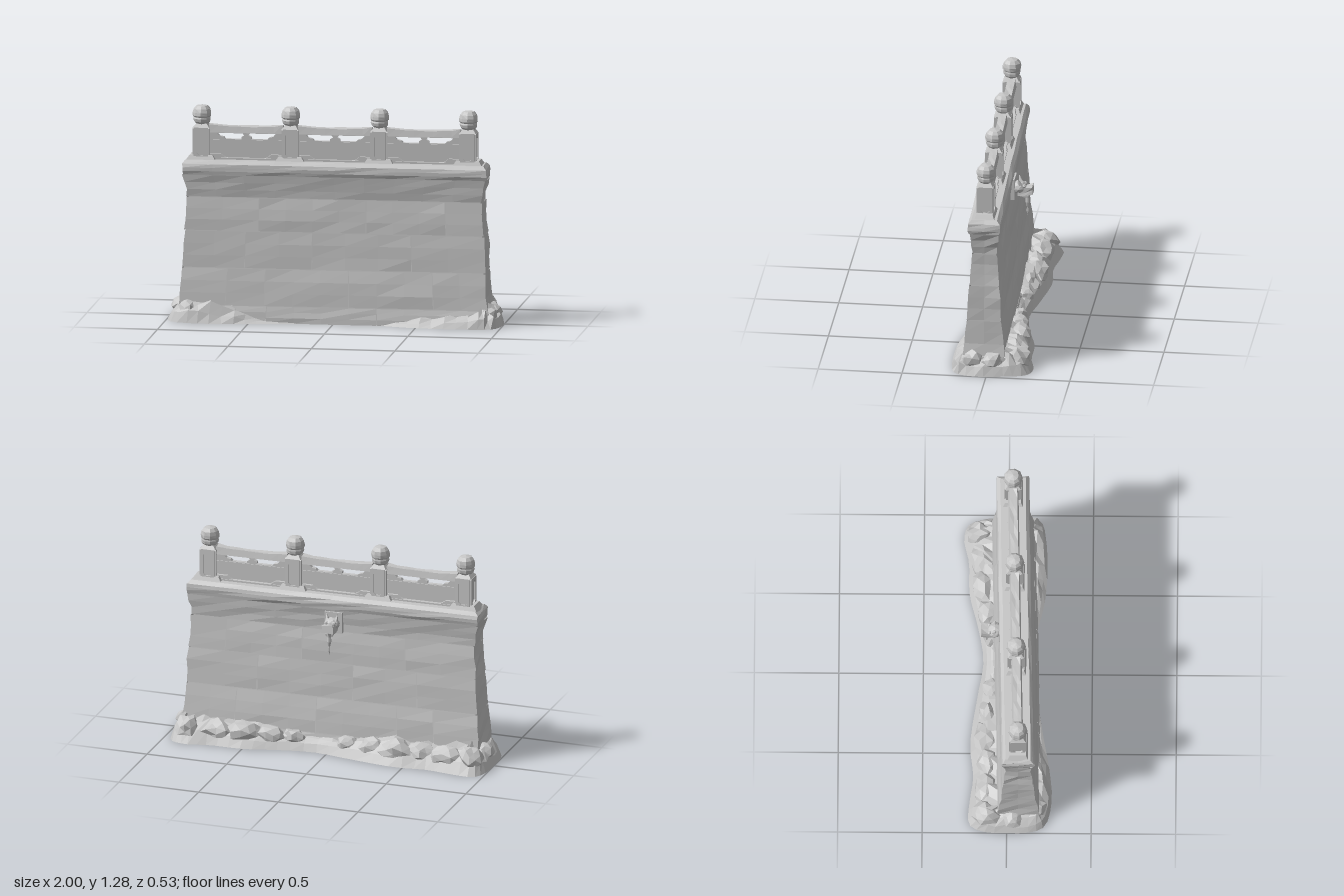
import * as THREE from 'three';

const stone = new THREE.MeshStandardMaterial({ color: 0xc6c6c6, flatShading: true, side: THREE.DoubleSide });
stone.name = 'grey stone';

// Repeatable noise in -0.5..0.5 from a position
const noise = (x, y, z) => {
  const s = Math.sin(Math.round(x * 500) * 1.271 + Math.round(y * 500) * 3.117 + Math.round(z * 500) * 0.747) * 43758.5;
  return s - Math.floor(s) - 0.5;
};
// The whole wall is slightly skewed along its length
const centreZ = (x) => 0.045 - 0.025 * x;
const toPoints = (list) => list.map(([x, y]) => new THREE.Vector2(x, y));

// Wall profile: height, half depth, half length
const PROFILE = [
  [0, 0.14, 0.94], [0.1, 0.127, 0.92], [0.3, 0.108, 0.905], [0.34, 0.1, 0.9], [0.52, 0.092, 0.895], [0.56, 0.088, 0.888],
  [0.74, 0.076, 0.88], [0.79, 0.077, 0.882], [0.86, 0.086, 0.9], [0.885, 0.096, 0.908], [0.935, 0.096, 0.905], [0.96, 0.078, 0.885],
];
function profileAt(y) {
  let i = 0;
  while (i < PROFILE.length - 2 && y > PROFILE[i + 1][0]) i++;
  const [a, b] = [PROFILE[i], PROFILE[i + 1]];
  const t = THREE.MathUtils.clamp((y - a[0]) / (b[0] - a[0]), 0, 1);
  return [a[1] + (b[1] - a[1]) * t, a[2] + (b[2] - a[2]) * t];
}

function warp(geo, fn) {
  const p = geo.attributes.position;
  const v = new THREE.Vector3();
  for (let i = 0; i < p.count; i++) {
    v.fromBufferAttribute(p, i);
    fn(v);
    p.setXYZ(i, v.x, v.y, v.z);
  }
  geo.computeVertexNormals();
  return geo;
}

function add(parent, name, geo, x = 0, y = 0, z = 0) {
  const mesh = new THREE.Mesh(geo, stone);
  mesh.name = name;
  mesh.position.set(x, y, z);
  parent.add(mesh);
  return mesh;
}

// A stone following the wall profile; u is a fraction of the half length, sides are the box faces kept
function wallBlock(u0, u1, y0, y1, inset, rough, ySegs, sides) {
  const xSegs = Math.max(1, Math.round((u1 - u0) * 5));
  const box = new THREE.BoxGeometry(1, 1, 1, xSegs, ySegs, 2);
  const all = Array.from(box.index.array);
  box.setIndex(sides.flatMap((s) => all.slice(box.groups[s].start, box.groups[s].start + box.groups[s].count)));
  box.clearGroups();
  return warp(box, (v) => {
    const y = y0 + (v.y + 0.5) * (y1 - y0);
    const [d, l] = profileAt(y);
    const u = u0 + (v.x + 0.5) * (u1 - u0);
    const x = u * (l - inset);
    const n = noise(x, y, v.z) * rough;
    const edge = Math.abs(v.y) > 0.49 ? 0.003 : 0;
    v.set(x + (Math.abs(u) > 0.99 ? n * 2 : 0), y, centreZ(x) + v.z * 2 * (d - inset - edge + n));
  });
}

// Hollow wall, open underneath, faced with staggered stones
function buildWall(group) {
  const courses = [
    [0, 0.1, [-0.43, 0.28]],
    [0.1, 0.32, [-0.7, -0.45, 0.1, 0.65]],
    [0.32, 0.54, [-0.59, -0.145, 0.515]],
    [0.54, 0.74, [-0.51, 0.215, 0.75]],
    [0.74, 0.875, []],
  ];
  const gap = 0.0025;
  courses.forEach(([y0, y1, joints]) => {
    const cuts = [-1, ...joints, 1];
    for (let i = 0; i < cuts.length - 1; i++) {
      const first = i === 0;
      const last = i === cuts.length - 2;
      const sides = [4, 5];
      if (last) sides.push(0);
      if (first) sides.push(1);
      const a = cuts[i] + (first ? 0 : gap);
      const b = cuts[i + 1] - (last ? 0 : gap);
      add(group, 'wallStone', wallBlock(a, b, y0 + (y0 ? gap : 0), y1 - gap, 0, 0.006, 3, sides));
    }
  });
  add(group, 'wallCore', wallBlock(-1, 1, 0, 0.9, 0.01, 0, 12, [0, 1, 4, 5]));
  add(group, 'coping', wallBlock(-1, 1, 0.876, 0.96, 0, 0.006, 4, [0, 1, 2, 3, 4, 5]));
}

// Upright rectangle with clipped corners
function clipped(Type, w, y0, y1, c) {
  const h = w / 2;
  return new Type(toPoints([
    [-h + c, y0], [h - c, y0], [h, y0 + c], [h, y1 - c], [h - c, y1], [-h + c, y1], [-h, y1 - c], [-h, y0 + c],
  ]));
}

function buildPost(x) {
  const post = new THREE.Group();
  post.name = 'post';
  post.position.set(x, 0, centreZ(x));
  add(post, 'postCore', new THREE.BoxGeometry(0.082, 0.22, 0.082), 0, 1.05, 0);
  // Raised frame with a sunken panel on each side
  const frame = clipped(THREE.Shape, 0.086, 0.95, 1.15, 0.006);
  frame.holes.push(clipped(THREE.Path, 0.054, 0.985, 1.128, 0.014));
  const frameGeo = new THREE.ExtrudeGeometry(frame, { depth: 0.011, bevelEnabled: false });
  frameGeo.translate(0, 0, 0.04);
  for (let i = 0; i < 4; i++) add(post, 'postFrame', frameGeo).rotation.y = i * Math.PI / 2;
  // Sloped top and rounded finial
  const cap = new THREE.CylinderGeometry(0.045, 0.069, 0.022, 4);
  cap.rotateY(Math.PI / 4);
  add(post, 'postCap', cap, 0, 1.161, 0);
  const knob = toPoints([[0.034, 1.166], [0.05, 1.182], [0.053, 1.2], [0.049, 1.209], [0.055, 1.218],
    [0.056, 1.236], [0.05, 1.258], [0.034, 1.276], [0, 1.283]]);
  add(post, 'finial', warp(new THREE.LatheGeometry(knob, 9), (v) => {
    const k = 1 + noise(v.x, v.y, v.z) * 0.1;
    v.x *= k;
    v.z *= k;
  }));
  // Flared foot
  const foot = new THREE.CylinderGeometry(0.075, 0.1, 0.035, 4);
  foot.rotateY(Math.PI / 4);
  foot.scale(1.3, 1, 0.9);
  add(post, 'postFoot', foot, 0, 0.968, 0);
  return post;
}

function buildBay(x0, x1) {
  const bay = new THREE.Group();
  bay.name = 'balustradeBay';
  const x = (x0 + x1) / 2;
  const w = x1 - x0;
  bay.position.set(x, 0, centreZ(x));
  bay.rotation.y = 0.025;
  // Panel pierced by two cloud-shaped openings
  const panel = new THREE.Shape(toPoints([[-w / 2, 0.94], [w / 2, 0.94], [w / 2, 1.13], [-w / 2, 1.13]]));
  for (const s of [-1, 1]) {
    panel.holes.push(new THREE.Path(toPoints([[0.03, 1.08], [0.125, 1.08], [0.135, 1.092], [0.16, 1.098], [0.175, 1.115],
      [0.022, 1.115], [0.012, 1.102], [0.03, 1.093]].map(([px, py]) => [s * px, py]))));
  }
  const panelGeo = new THREE.ExtrudeGeometry(panel, { depth: 0.026, bevelEnabled: false });
  add(bay, 'piercedPanel', panelGeo, 0, 0, -0.013);
  // Worn handrail that sags a little
  add(bay, 'handrail', warp(new THREE.BoxGeometry(w, 0.042, 0.062, 8, 1, 2), (v) => {
    const e = (2 * v.x / w) ** 2;
    if (v.y > 0) {
      v.y += -0.006 + 0.012 * e + noise(v.x, 0.3, v.z) * 0.007;
      v.z *= 0.75;
    }
  }), 0, 1.141, 0);
  add(bay, 'middleRail', new THREE.BoxGeometry(w, 0.01, 0.036), 0, 1.072, 0);
  // Low curb and the curved brackets next to the posts
  add(bay, 'curb', new THREE.BoxGeometry(w, 0.03, 0.07), 0, 0.955, 0);
  for (const s of [-1, 1]) {
    const e = s * w / 2;
    const shape = new THREE.Shape();
    shape.moveTo(e, 0.945);
    shape.lineTo(e - s * 0.17, 0.945);
    shape.quadraticCurveTo(e - s * 0.11, 0.96, e - s * 0.07, 0.992);
    shape.lineTo(e, 0.992);
    add(bay, 'curbBracket', new THREE.ExtrudeGeometry(shape, { depth: 0.06, bevelEnabled: false, curveSegments: 4 }), 0, 0, -0.03);
  }
  return bay;
}

// Beast-head water spout on the back
function buildSpout() {
  const spout = new THREE.Group();
  spout.name = 'waterSpout';
  spout.position.set(-0.01, 0, 0);
  add(spout, 'spoutPlate', new THREE.BoxGeometry(0.11, 0.13, 0.03), 0, 0.8, -0.038);
  const head = add(spout, 'spoutHead', new THREE.IcosahedronGeometry(0.042, 1), 0, 0.8, -0.075);
  head.scale.set(1.15, 0.95, 1.1);
  const snout = warp(new THREE.BoxGeometry(0.07, 0.045, 0.09, 2, 2, 2), (v) => {
    v.x *= 1 + noise(v.x, v.y, v.z) * 0.3;
    v.y += (v.z < -0.03 ? 0.006 : 0) + noise(v.z, v.x, v.y) * 0.012;
  });
  add(spout, 'snout', snout, 0, 0.782, -0.113).rotation.x = 0.1;
  add(spout, 'lowerJaw', new THREE.BoxGeometry(0.042, 0.016, 0.06), 0, 0.752, -0.098).rotation.x = -0.25;
  for (const s of [-1, 1]) {
    add(spout, 'ear', new THREE.ConeGeometry(0.016, 0.05, 5), s * 0.03, 0.842, -0.077).rotation.set(0.25, 0, -s * 0.2);
    add(spout, 'browBump', new THREE.IcosahedronGeometry(0.013, 0), s * 0.024, 0.815, -0.108);
  }
  const drip = toPoints([[0, 0.62], [0.007, 0.645], [0.006, 0.675], [0.014, 0.705], [0.012, 0.735], [0.018, 0.765]]);
  add(spout, 'hangingDrip', new THREE.LatheGeometry(drip, 6), 0, 0, -0.126);
  return spout;
}

// Earth and rubble heaped around the foot
function buildRubble() {
  const rubble = new THREE.Group();
  rubble.name = 'rubble';
  // Outline points: x, z, height against the wall
  const outline = [
    [-0.8, 0.265, 0.14], [-0.6, 0.25, 0.09], [-0.4, 0.215, 0.025], [0, 0.16, 0.003], [0.25, 0.17, 0.005],
    [0.45, 0.215, 0.05], [0.65, 0.23, 0.06], [0.85, 0.22, 0.1], [0.96, 0.19, 0.13], [1, 0.06, 0.11],
    [0.98, -0.1, 0.11], [0.94, -0.235, 0.13], [0.85, -0.265, 0.14], [0.7, -0.235, 0.14], [0.5, -0.23, 0.13],
    [0.3, -0.18, 0.1], [0.08, -0.145, 0.09], [-0.15, -0.18, 0.1], [-0.45, -0.22, 0.14], [-0.65, -0.2, 0.12],
    [-0.8, -0.22, 0.15], [-0.95, -0.22, 0.15], [-1, -0.1, 0.12], [-1, 0.1, 0.11], [-0.96, 0.22, 0.12],
  ];
  const curve = new THREE.CatmullRomCurve3(outline.map(([x, z, h]) => new THREE.Vector3(x, h, z)), true);
  const n = 70;
  const rings = [[0, 0], [0.22, 0.45], [0.55, 0.85], [1, 1]];
  const pos = [];
  const index = [];
  for (let i = 0; i < n; i++) {
    const o = curve.getPoint(i / n);
    o.x = THREE.MathUtils.clamp(o.x, -1, 1);
    const ix = THREE.MathUtils.clamp(o.x, -0.88, 0.88);
    const iz = THREE.MathUtils.clamp(o.z, centreZ(ix) - 0.1, centreZ(ix) + 0.1);
    rings.forEach(([t, k], j) => {
      const r = j ? noise(i, j, 3) : 0;
      const h = Math.max(0, o.y) * k;
      pos.push(o.x + (ix - o.x) * t + r * 0.015, h * (1 + r * 0.5), o.z + (iz - o.z) * t + r * 0.012);
      if (j === 3) return;
      const a = i * 4 + j;
      const b = ((i + 1) % n) * 4 + j;
      index.push(a, b, b + 1, a, b + 1, a + 1);
    });
  }
  const mound = new THREE.BufferGeometry();
  mound.setAttribute('position', new THREE.Float32BufferAttribute(pos, 3));
  mound.setIndex(index);
  mound.computeVertexNormals();
  add(rubble, 'mound', mound);
  // Flat, half-buried rocks: x, z, radius
  const rocks = [
    [-0.9, -0.12, 0.08], [-0.74, -0.12, 0.07], [-0.58, -0.11, 0.065], [-0.43, -0.125, 0.075], [-0.28, -0.105, 0.06],
    [-0.12, -0.095, 0.05], [0.22, -0.1, 0.05], [0.36, -0.115, 0.065], [0.52, -0.14, 0.075], [0.68, -0.145, 0.075],
    [0.86, -0.17, 0.08], [0.92, -0.03, 0.065], [0.91, 0.1, 0.07], [-0.92, 0.03, 0.07], [-0.86, 0.17, 0.07],
  ];
  rocks.forEach(([x, z, r], i) => {
    const rock = warp(new THREE.IcosahedronGeometry(r, 1), (v) => {
      v.multiplyScalar(1 + noise(v.x + i, v.y, v.z) * 0.35);
      v.y = Math.max(v.y, -0.02);
    });
    const mesh = add(rubble, 'rock', rock, x, 0.065, z);
    mesh.scale.x = Math.abs(x) > 0.85 ? 0.9 : 1.45;
    mesh.rotation.y = noise(i, 1, 2) * 0.5;
  });
  return rubble;
}

export function createModel() {
  const model = new THREE.Group();
  model.name = 'stoneWall';
  const wall = new THREE.Group();
  wall.name = 'wall';
  buildWall(wall);
  const posts = [-0.8, -0.27, 0.26, 0.79];
  model.add(wall, buildSpout(), buildRubble());
  posts.forEach((x, i) => {
    model.add(buildPost(x));
    if (i) model.add(buildBay(posts[i - 1] + 0.045, x - 0.045));
  });
  return model;
}
